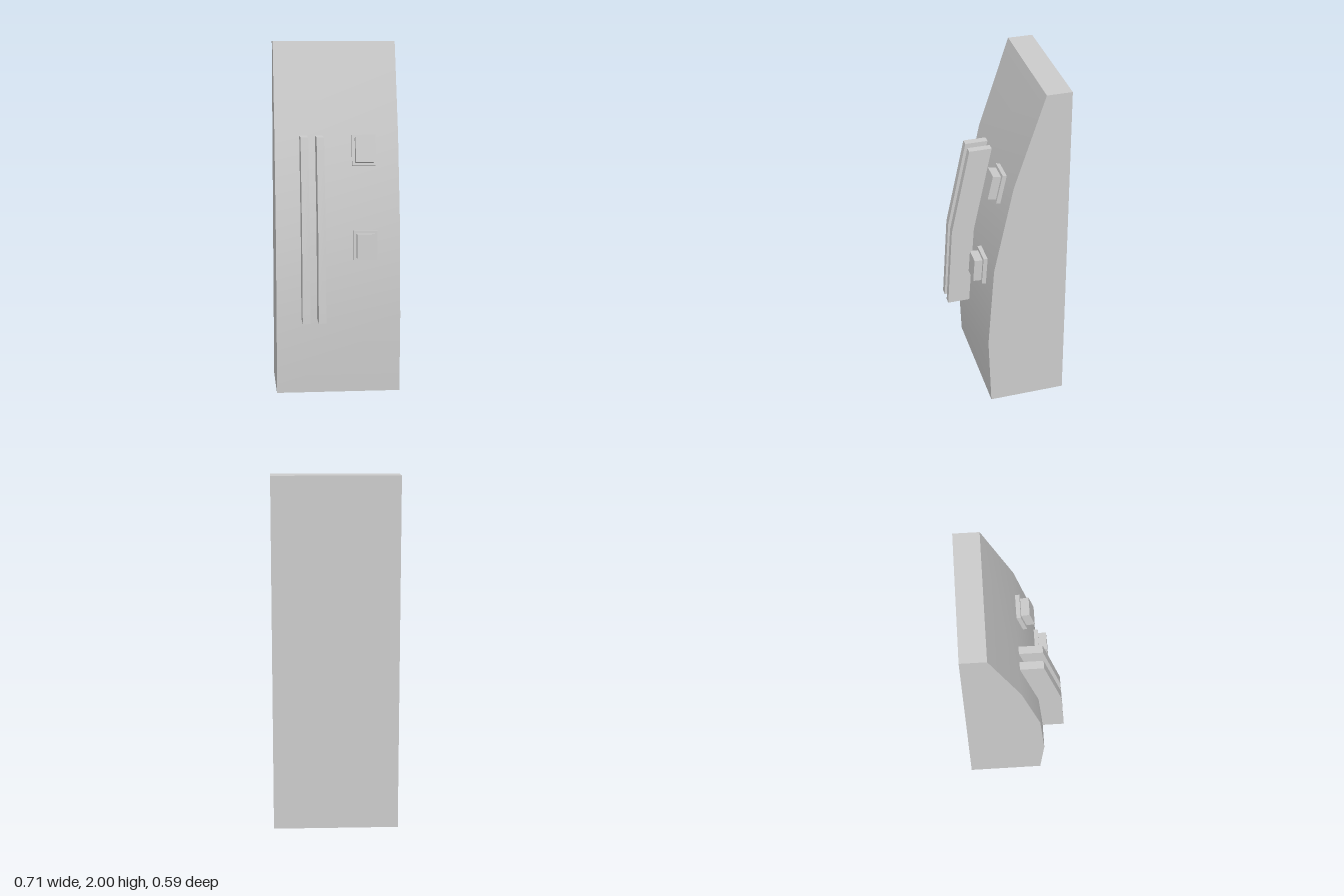
import * as THREE from 'three';
import { toCreasedNormals } from 'three/addons/utils/BufferGeometryUtils.js';

const grey = new THREE.MeshStandardMaterial({ color: 0xcccccc });

// Side profile given as [z, y] points, extruded along x from x0 to x1
function sideExtrusion(name, profile, x0, x1) {
  const shape = new THREE.Shape(profile.map(([z, y]) => new THREE.Vector2(-z, y)));
  const geometry = new THREE.ExtrudeGeometry(shape, { depth: x1 - x0, bevelEnabled: false });
  geometry.rotateY(Math.PI / 2).translate(x0, 0, 0);
  const mesh = new THREE.Mesh(toCreasedNormals(geometry, 0.5), grey);
  mesh.name = name;
  return mesh;
}

// Backplate with a raised button; origin at the top rear edge of the backplate
function makeSwitch(name, height, y, z, tilt) {
  const group = new THREE.Group();
  group.name = name;
  const block = (part, w, top, bottom, back, front) => {
    const mesh = new THREE.Mesh(new THREE.BoxGeometry(w, top - bottom, front - back), grey);
    mesh.position.set(0, (top + bottom) / 2, (back + front) / 2);
    mesh.name = part;
    group.add(mesh);
  };
  block('switchPlate', 0.136, 0, -height, 0, 0.024);
  block('switchButton', 0.103, -0.018, -height + 0.014, 0.024, 0.071);
  group.position.set(0.153, y, z);
  group.rotation.x = -tilt;
  return group;
}

export function createModel() {
  const model = new THREE.Group();
  model.name = 'curvedPanel';

  // Gently bowed front face, from bottom to top
  const front = [[0.147, 0], [0.163, 0.435], [0.128, 0.94], [0.018, 1.467], [-0.155, 2]];
  model.add(sideExtrusion('body', [[-0.295, 0], ...front, [-0.295, 2]], -0.354, 0.354));

  // Two tall fins following the bow of the body
  const fin = [
    [0.163, 0.435], [0.293, 0.435], [0.26, 0.94], [0.148, 1.467], [0.018, 1.467], [0.128, 0.94],
  ];
  model.add(sideExtrusion('outerFin', fin, -0.213, -0.17));
  model.add(sideExtrusion('innerFin', fin, -0.123, -0.081));

  // Two switches lying on the sloping front
  model.add(makeSwitch('upperSwitch', 0.176, 1.467, 0.018, 0.21));
  model.add(makeSwitch('lowerSwitch', 0.169, 0.936, 0.128, 0.07));

  return model;
}
